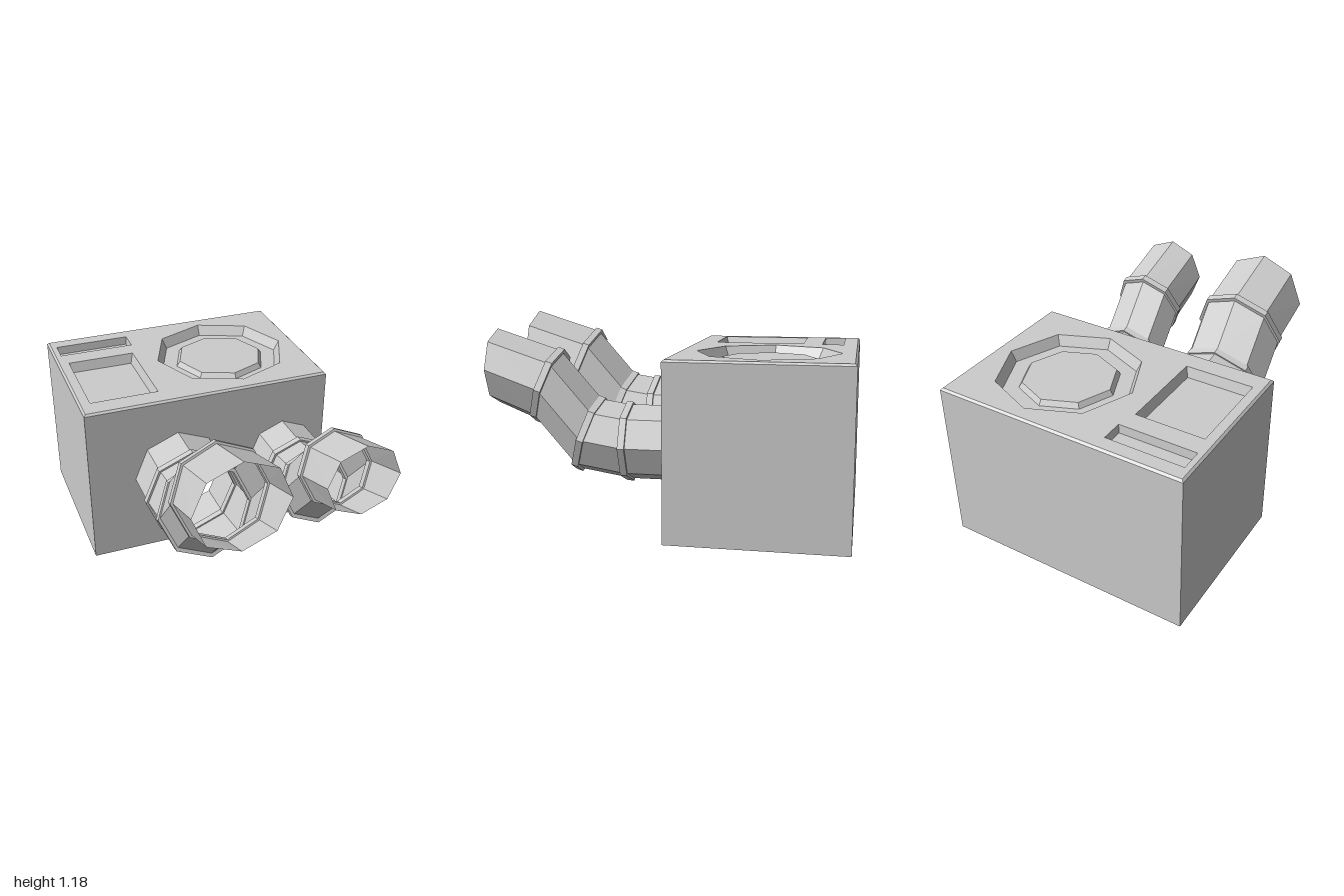
import * as THREE from 'three';

const material = new THREE.MeshStandardMaterial({ color: 0xcccccc, flatShading: true, side: THREE.DoubleSide });

// Outlines in the plane, counter-clockwise
const octagon = (cx, cy, r) => Array.from({ length: 8 }, (_, i) =>
  new THREE.Vector2(cx + r * Math.cos(i * Math.PI / 4), cy + r * Math.sin(i * Math.PI / 4)));
const rectangle = (x0, y0, x1, y1) =>
  [[x0, y0], [x1, y0], [x1, y1], [x0, y1]].map(([x, y]) => new THREE.Vector2(x, y));

// Lay an outline flat at height h (outline y points to -z)
const flat = (outline, h) => outline.map(p => new THREE.Vector3(p.x, h, -p.y));

// Skin a list of closed sections with quads
function loft(sections) {
  const n = sections[0].length;
  const positions = sections.flat().flatMap(p => [p.x, p.y, p.z]);
  const index = [];
  for (let i = 0; i < sections.length - 1; i++) {
    for (let j = 0; j < n; j++) {
      const k = (j + 1) % n;
      const a = i * n + j, b = i * n + k, c = a + n, d = b + n;
      index.push(a, b, d, a, d, c);
    }
  }
  const g = new THREE.BufferGeometry();
  g.setAttribute('position', new THREE.Float32BufferAttribute(positions, 3));
  g.setIndex(index);
  const out = g.toNonIndexed();
  out.computeVertexNormals();
  return out;
}

// Flat sheet with optional holes
function sheet(outline, holes = []) {
  const shape = new THREE.Shape(outline);
  holes.forEach(h => shape.holes.push(new THREE.Path(h)));
  return new THREE.ShapeGeometry(shape);
}
const level = (outline, h, holes) => sheet(outline, holes).rotateX(-Math.PI / 2).translate(0, h, 0);

function add(parent, name, geometry) {
  const mesh = new THREE.Mesh(geometry, material);
  mesh.name = name;
  parent.add(mesh);
  return mesh;
}

// Box dimensions
const W = 0.747, FRONT = -0.003, BACK = -1, TOP = 0.993, BEVEL = 0.012;
const WALL = TOP - BEVEL;
const PIPES = [
  { name: 'largePipe', x: -0.2, r: 0.27 },
  { name: 'smallPipe', x: 0.47, r: 0.21 },
];

// Pipe stations: z, y, backward tilt, collar or not
const TILT = 0.32;
const STATIONS = [
  { z: FRONT, y: 0.5, t: 0 },
  { z: 0.235, y: 0.5, t: 0, collar: true },
  { z: 0.463, y: 0.535, t: TILT, collar: true },
  { z: 0.697, y: 0.802, t: TILT, collar: true },
  { z: 1, y: 0.908, t: 0 },
];

// Octagonal section at a station, shifted along its own axis
const section = (x, r, s, shift = 0) => octagon(0, 0, r).map(p => new THREE.Vector3(
  x + p.x,
  s.y + p.y * Math.cos(s.t) + shift * Math.sin(s.t),
  s.z - p.y * Math.sin(s.t) + shift * Math.cos(s.t)));

function makePipe({ name, x, r }) {
  const pipe = new THREE.Group();
  pipe.name = name;
  add(pipe, 'pipeWall', loft(STATIONS.map(s => section(x, r, s))));
  for (const s of STATIONS.filter(s => s.collar)) {
    const inner = r - 0.012, outer = r + 0.014, half = 0.019;
    add(pipe, 'collar', loft([
      section(x, inner, s, -half), section(x, outer, s, -half),
      section(x, outer, s, half), section(x, inner, s, half), section(x, inner, s, -half),
    ]));
  }
  return pipe;
}

function makeBody() {
  const body = new THREE.Group();
  body.name = 'body';

  // Walls; the underside is open
  const depth = FRONT - BACK, midZ = (FRONT + BACK) / 2;
  add(body, 'frontWall', sheet(rectangle(-W, 0, W, WALL), PIPES.map(p => octagon(p.x, 0.5, p.r))))
    .position.z = FRONT;
  add(body, 'backWall', new THREE.PlaneGeometry(2 * W, WALL).rotateY(Math.PI).translate(0, WALL / 2, BACK));
  for (const s of [-1, 1]) {
    add(body, 'sideWall', new THREE.PlaneGeometry(depth, WALL).rotateY(s * Math.PI / 2)
      .translate(s * W, WALL / 2, midZ));
  }

  // Bevelled top edge
  const rim = rectangle(-W + BEVEL, -FRONT + BEVEL, W - BEVEL, -BACK - BEVEL);
  add(body, 'topBevel', loft([flat(rectangle(-W, -FRONT, W, -BACK), WALL), flat(rim, TOP)]));

  // Recesses sunk into the top: rim outline, floor outline, depth
  const recesses = [
    { name: 'roundRecess', rim: octagon(0.25, 0.507, 0.407), floor: octagon(0.25, 0.507, 0.375), d: 0.06 },
    { name: 'squareRecess', rim: rectangle(-0.68, 0.13, -0.275, 0.663), floor: rectangle(-0.66, 0.147, -0.292, 0.645), d: 0.06 },
    { name: 'slotRecess', rim: rectangle(-0.703, 0.78, -0.248, 0.907), floor: rectangle(-0.699, 0.784, -0.252, 0.903), d: 0.05 },
  ];
  add(body, 'topPanel', level(rim, TOP, recesses.map(r => r.rim)));
  for (const { name, rim: edge, floor, d } of recesses) {
    add(body, name + 'Wall', loft([flat(edge, TOP), flat(floor, TOP - d)]));
    add(body, name + 'Floor', level(floor, TOP - d));
  }

  // Raised plate in the round recess
  const base = octagon(0.25, 0.507, 0.284), crown = octagon(0.25, 0.507, 0.264);
  add(body, 'plateEdge', loft([flat(base, TOP - 0.06), flat(crown, TOP - 0.03)]));
  add(body, 'plateTop', level(crown, TOP - 0.03));
  return body;
}

export function createModel() {
  const model = new THREE.Group();
  model.name = 'ductBox';
  model.add(makeBody(), ...PIPES.map(makePipe));
  return model;
}
